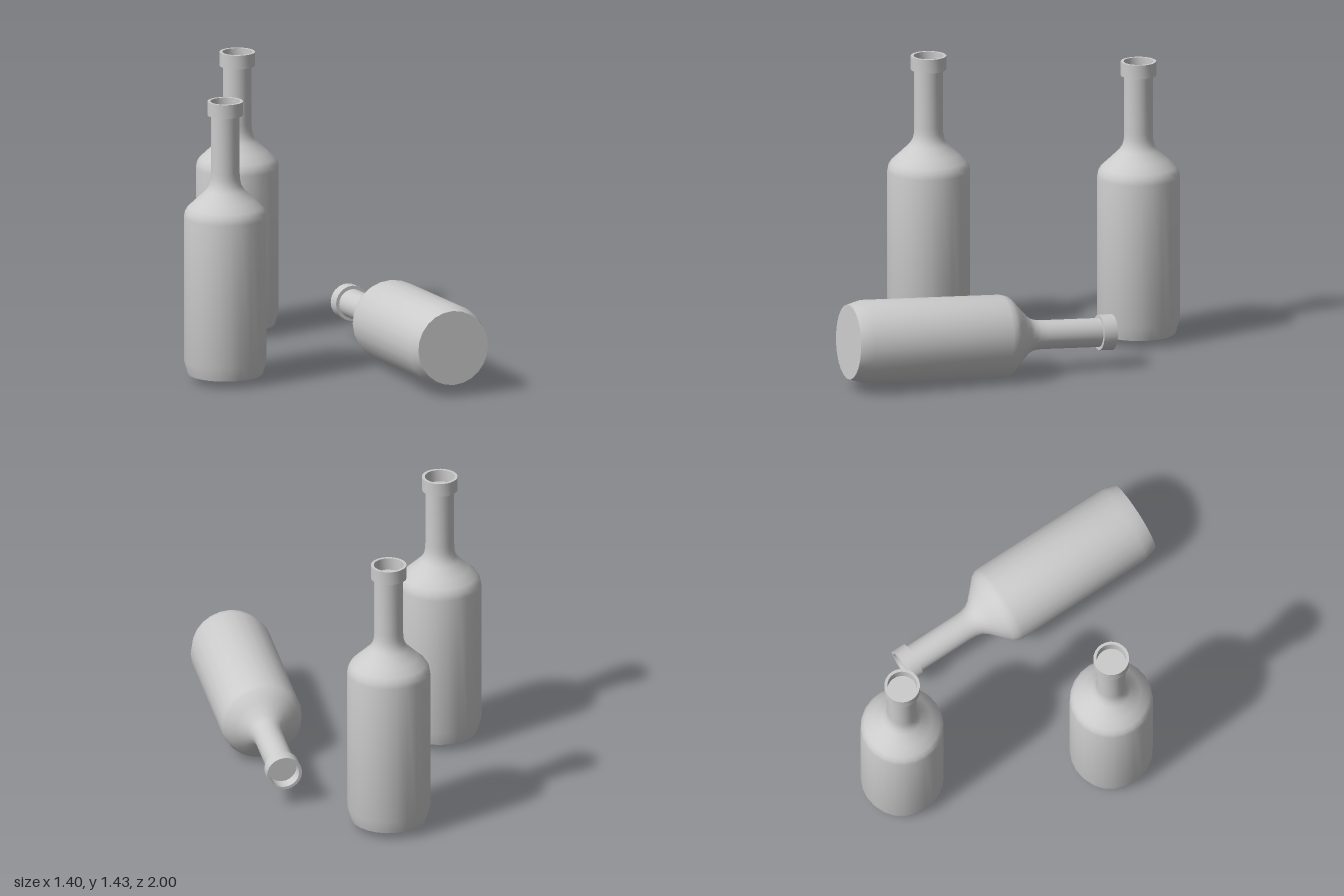
import * as THREE from 'three';
import { toCreasedNormals } from 'three/addons/utils/BufferGeometryUtils.js';

const SIDES = 24;

function turned(points) {
  const profile = points.map(([r, y]) => new THREE.Vector2(r, y));
  return toCreasedNormals(new THREE.LatheGeometry(profile, SIDES), 0.7);
}

export function createModel() {
  const model = new THREE.Group();
  const material = new THREE.MeshStandardMaterial({ color: 0xcccccc });

  // Closed base, chamfered foot, straight wall, sloping shoulder and neck
  const bodyGeometry = turned([
    [0, 0], [0.187, 0], [0.207, 0.07], [0.207, 0.8], [0.202, 0.826],
    [0.187, 0.85], [0.147, 0.887], [0.096, 0.936], [0.08, 0.962],
    [0.073, 0.995], [0.072, 1.03], [0.072, 1.32],
  ]);

  // Collar with a shallow recessed mouth
  const collarGeometry = turned([
    [0.072, 1.32], [0.089, 1.32], [0.089, 1.39],
    [0.074, 1.39], [0.074, 1.328], [0, 1.328],
  ]);

  // Each bottle: name, centre of its base, direction of its axis
  const bottles = [
    ['standingBottleRight', [-0.495, 0.04, -0.2], [0, 1, 0]],
    ['standingBottleBack', [0.37, 0.04, -0.794], [0, 1, 0]],
    ['lyingBottle', [-0.072, 0.25, 0.905], [0.499, -0.05, -0.865]],
  ];
  const up = new THREE.Vector3(0, 1, 0);
  for (const [name, base, axis] of bottles) {
    const bottle = new THREE.Group();
    bottle.name = name;
    const body = new THREE.Mesh(bodyGeometry, material);
    body.name = 'bottleBody';
    const collar = new THREE.Mesh(collarGeometry, material);
    collar.name = 'bottleCollar';
    bottle.add(body, collar);
    bottle.position.set(...base);
    bottle.quaternion.setFromUnitVectors(up, new THREE.Vector3(...axis).normalize());
    model.add(bottle);
  }
  return model;
}
